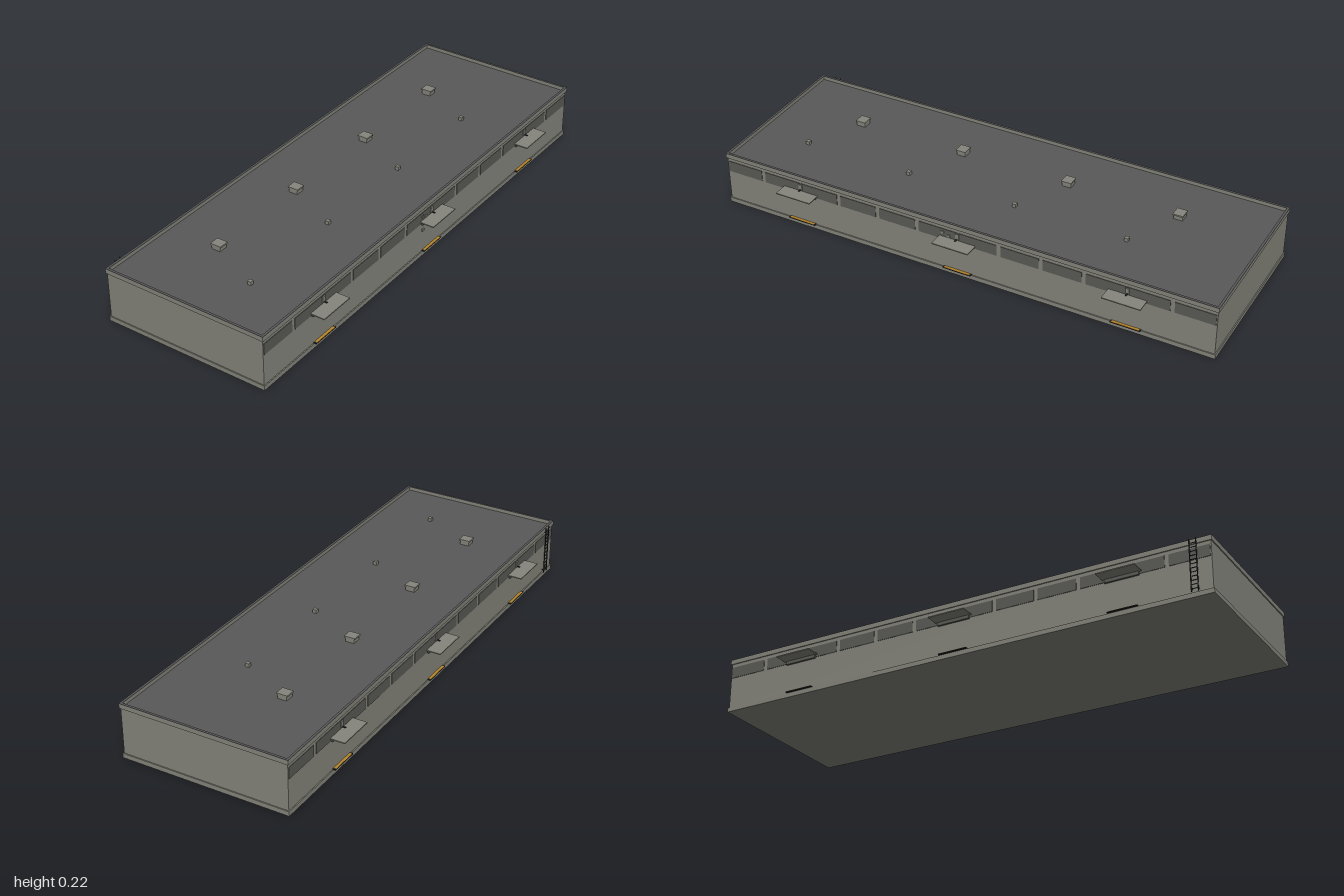
import * as THREE from 'three';

const material = (name, color) => {
  const m = new THREE.MeshStandardMaterial({ color });
  m.name = name;
  return m;
};

export function createModel() {
  const model = new THREE.Group();
  model.name = 'warehouse';
  const wall = material('wall grey', 0x85857c);
  const roofing = material('roof grey', 0x595959);
  const glass = material('window grey', 0x5a5a56);
  const black = material('black metal', 0x222222);
  const yellow = material('dock yellow', 0xb8862b);

  // Box given by its size and centre
  const box = (name, mat, w, h, d, x, y, z, parent = model) => {
    const mesh = new THREE.Mesh(new THREE.BoxGeometry(w, h, d), mat);
    mesh.name = name;
    mesh.position.set(x, y, z);
    parent.add(mesh);
    return mesh;
  };

  // Shell: plinth, walls and recessed roof
  box('plinth', wall, 0.668, 0.018, 2, 0, 0.009, 0);
  box('walls', wall, 0.66, 0.18, 1.992, 0, 0.108, 0);
  box('roof', roofing, 0.654, 0.004, 1.986, 0, 0.2, 0);

  // Parapet with a dark coping
  for (const s of [-1, 1]) {
    box('sideParapet', wall, 0.009, 0.017, 2, s * 0.3295, 0.2065, 0);
    box('endParapet', wall, 0.65, 0.017, 0.009, 0, 0.2065, s * 0.9955);
    box('sideCoping', roofing, 0.009, 0.002, 2, s * 0.3295, 0.216, 0);
    box('endCoping', roofing, 0.65, 0.002, 0.009, 0, 0.216, s * 0.9955);
  }

  // Long sides: twelve window bays and three loading docks each
  const bay = 1 / 6;
  const dockPositions = [-4 * bay, 0, 4 * bay];
  for (const s of [-1, 1]) {
    const side = new THREE.Group();
    side.name = s > 0 ? 'leftSide' : 'rightSide';
    model.add(side);
    for (let i = 0; i < 12; i++) {
      box('window', glass, 0.004, 0.044, 0.151, s * 0.33, 0.162, -1 + (i + 0.5) * bay, side);
    }
    for (const z of dockPositions) {
      box('windowLink', glass, 0.003, 0.044, 0.02, s * 0.33, 0.162, z, side);
      box('canopy', wall, 0.058, 0.004, 0.147, s * 0.359, 0.15, z, side);
      box('canopySupport', glass, 0.008, 0.013, 0.13, s * 0.334, 0.1415, z, side);
      box('lampPlate', wall, 0.005, 0.024, 0.014, s * 0.333, 0.168, z, side);
      box('lampArm', black, 0.016, 0.002, 0.006, s * 0.34, 0.159, z, side);
      box('dockLip', black, 0.012, 0.003, 0.115, s * 0.336, 0.0195, z, side);
      box('dockStripe', yellow, 0.011, 0.001, 0.105, s * 0.336, 0.0215, z, side);
    }
  }

  // Small wall fittings beside the middle canopy
  for (const [y, z] of [[0.17, 0.06], [0.16, 0.035], [0.11, 0.055]]) {
    box('wallFitting', wall, 0.005, 0.009, 0.012, 0.333, y, z);
  }

  // Large and small roof vents
  for (const z of [-0.667, -0.222, 0.222, 0.667]) {
    box('ventBase', wall, 0.036, 0.018, 0.036, -0.11, 0.209, z);
    box('ventCap', wall, 0.044, 0.006, 0.04, -0.11, 0.221, z);
    box('smallVent', wall, 0.015, 0.014, 0.015, 0.11, 0.209, z + 0.108);
  }

  // Access ladder near the front corner
  const ladder = new THREE.Group();
  ladder.name = 'ladder';
  model.add(ladder);
  for (const z of [0.92, 0.945]) {
    box('ladderRail', black, 0.003, 0.198, 0.003, -0.339, 0.118, z, ladder);
    for (const y of [0.03, 0.2]) box('ladderBracket', black, 0.012, 0.002, 0.003, -0.334, y, z, ladder);
  }
  for (let i = 0; i < 12; i++) {
    box('ladderRung', black, 0.002, 0.002, 0.025, -0.339, 0.03 + i * 0.0155, 0.9325, ladder);
  }

  return model;
}
